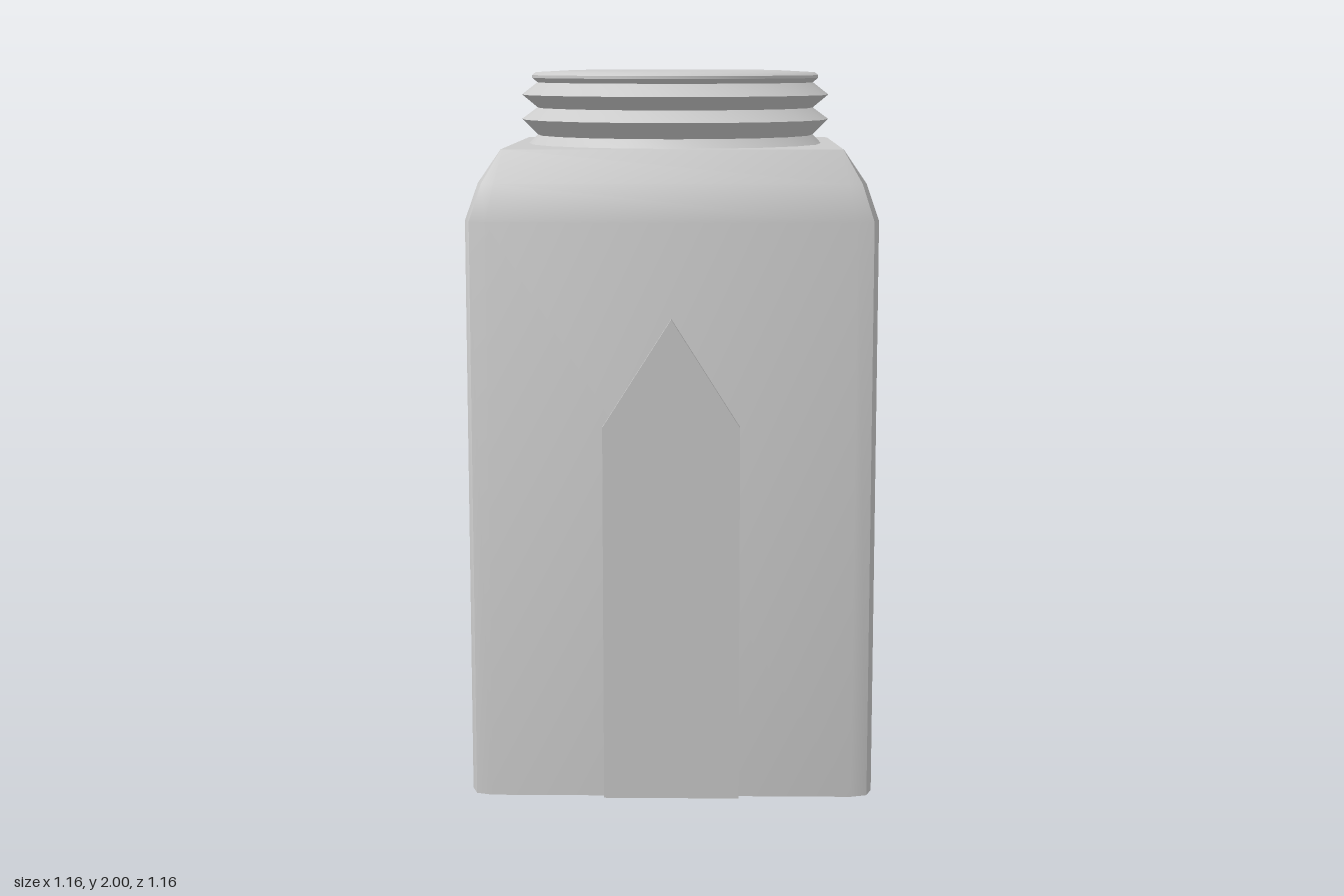
import * as THREE from 'three';
import { toCreasedNormals } from 'three/addons/utils/BufferGeometryUtils.js';

const material = new THREE.MeshStandardMaterial({ color: 0xcccccc });

function addMesh(parent, name, geometry) {
  const mesh = new THREE.Mesh(geometry, material);
  mesh.name = name;
  parent.add(mesh);
  return mesh;
}

// Square ring with softened corners: h = half width, k = corner ridge, s = start of the corner
function squareRing({ y, h, k, s }) {
  const ring = [];
  for (let q = 0; q < 4; q++) {
    for (const [x, z] of [[h, s], [k, k], [s, h]]) {
      const p = new THREE.Vector3(x, y, z);
      ring.push(p.applyAxisAngle(new THREE.Vector3(0, 1, 0), -q * Math.PI / 2));
    }
  }
  return ring;
}

// Skin a stack of rings and close both ends
function loft(rings) {
  const points = [];
  const tri = (...corners) => corners.forEach((p) => points.push(p.x, p.y, p.z));
  const n = rings[0].length;
  for (let r = 0; r < rings.length - 1; r++) {
    const lo = rings[r], hi = rings[r + 1];
    for (let i = 0; i < n; i++) {
      const j = (i + 1) % n;
      tri(lo[i], hi[i], hi[j]);
      tri(lo[i], hi[j], lo[j]);
    }
  }
  const first = rings[0], last = rings[rings.length - 1];
  const bottom = new THREE.Vector3(0, first[0].y, 0);
  const top = new THREE.Vector3(0, last[0].y, 0);
  for (let i = 0; i < n; i++) {
    const j = (i + 1) % n;
    tri(bottom, first[i], first[j]);
    tri(top, last[j], last[i]);
  }
  const geometry = new THREE.BufferGeometry();
  geometry.setAttribute('position', new THREE.Float32BufferAttribute(points, 3));
  return toCreasedNormals(geometry, 0.7);
}

export function createModel() {
  const model = new THREE.Group();
  model.name = 'squareJar';

  // Square body with rounded shoulders
  addMesh(model, 'body', loft([
    { y: 0, h: 0.56, k: 0.545, s: 0.50 },
    { y: 1.6, h: 0.56, k: 0.545, s: 0.50 },
    { y: 1.7, h: 0.526, k: 0.514, s: 0.48 },
    { y: 1.79, h: 0.465, k: 0.464, s: 0.46 },
  ].map(squareRing)));

  // Threaded neck with a closed, slightly raised top
  const neckProfile = [
    [0.43, 1.785], [0.40, 1.815], [0.445, 1.86], [0.40, 1.893], [0.445, 1.93],
    [0.40, 1.965], [0.415, 1.978], [0.415, 1.986], [0.405, 1.994], [0.295, 2], [0, 2],
  ].map(([x, y]) => new THREE.Vector2(x, y));
  addMesh(model, 'threadedNeck', toCreasedNormals(new THREE.LatheGeometry(neckProfile, 20), 0.7));

  // Pointed raised panel on each side
  const outline = new THREE.Shape([
    [-0.187, 0], [0.187, 0], [0.187, 1.045], [0, 1.34], [-0.187, 1.045],
  ].map(([x, y]) => new THREE.Vector2(x, y)));
  const panelGeometry = new THREE.ExtrudeGeometry(outline, { depth: 0.04, bevelEnabled: false });
  panelGeometry.translate(0, 0, 0.54);
  ['front', 'left', 'back', 'right'].forEach((side, i) => {
    addMesh(model, side + 'Panel', panelGeometry).rotation.y = i * Math.PI / 2;
  });

  return model;
}
